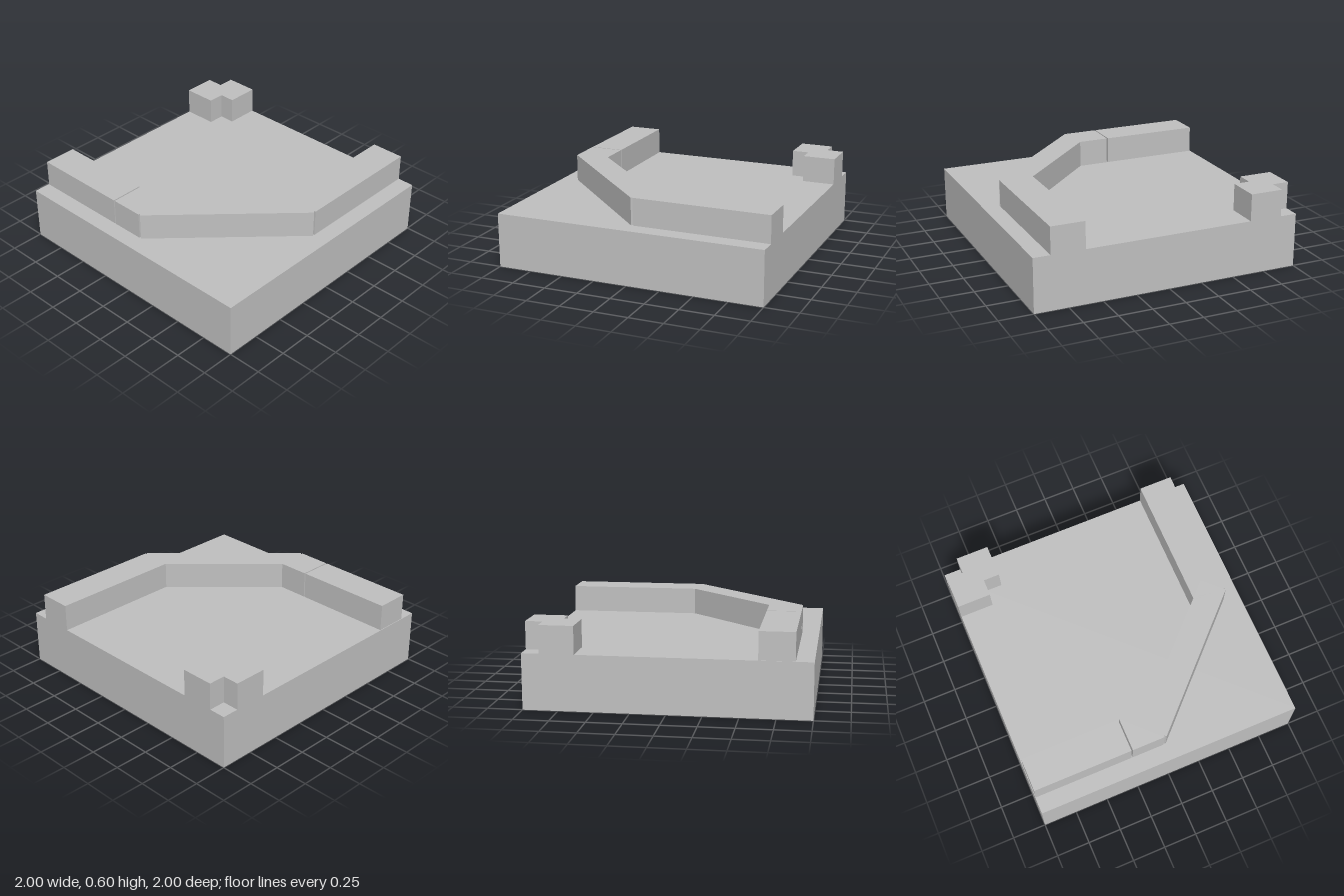
import * as THREE from 'three';

const BASE_TOP = 0.4;
const WALL_HEIGHT = 0.2;

export function createModel() {
  const model = new THREE.Group();
  model.name = 'walledTile';
  const stone = new THREE.MeshStandardMaterial({ color: 0xc0c0c0 });
  stone.name = 'grey stone';

  // Upright prism from a plan outline of [x, z] points
  function addPrism(name, outline, y, height) {
    const shape = new THREE.Shape(outline.map(([x, z]) => new THREE.Vector2(x, -z)));
    const geometry = new THREE.ExtrudeGeometry(shape, { depth: height, bevelEnabled: false });
    geometry.rotateX(-Math.PI / 2);
    const mesh = new THREE.Mesh(geometry, stone);
    mesh.name = name;
    mesh.position.y = y;
    model.add(mesh);
  }
  const rect = (x0, x1, z0, z1) => [[x0, z0], [x0, z1], [x1, z1], [x1, z0]];
  const addWall = (name, outline) => addPrism(name, outline, BASE_TOP, WALL_HEIGHT);

  // Square base
  addPrism('base', rect(-1, 1, -1, 1), 0, BASE_TOP);

  // Straight walls, with a narrow gap in the front one
  addWall('sideWall', rect(0.625, 0.875, -1, 0));
  addWall('frontWall', rect(-0.995, -0.255, 0.625, 0.875));
  addWall('frontWallEnd', rect(-0.245, 0, 0.625, 0.875));

  // Diagonal wall whose square ends overlap the straight walls
  addWall('diagonalWall', [[0.015, 0.875], [0.875, 0.015], [0.735, -0.125], [-0.125, 0.735]]);

  // Corner pillar, notched at its inner and outer corners
  addWall('cornerPillar', [
    [-0.875, -1], [-0.875, -0.875], [-1, -0.875], [-1, -0.63],
    [-0.75, -0.63], [-0.75, -0.755], [-0.63, -0.755], [-0.63, -1],
  ]);

  return model;
}
